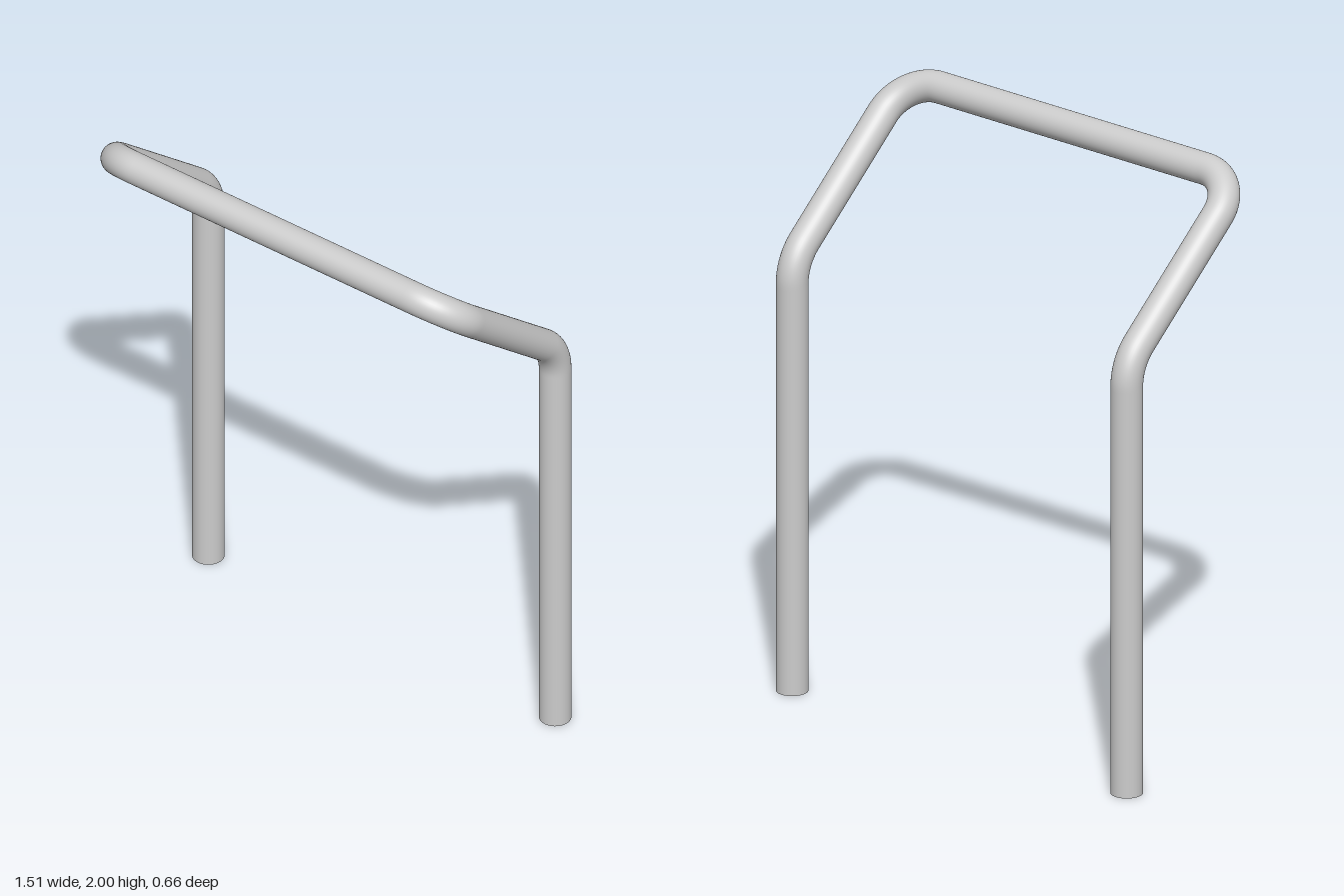
import * as THREE from 'three';

const OUTER = 0.0525, INNER = 0.042;
const HALF_WIDTH = 0.705, DEPTH = 0.28, TOP = 2 - OUTER, KNEE = 1.478;

// Straight runs through the corner points, joined by circular bends
function bentPath(points, radii) {
  const path = new THREE.CurvePath();
  let from = points[0];
  for (let i = 1; i < points.length - 1; i++) {
    const corner = points[i];
    const dirIn = corner.clone().sub(points[i - 1]).normalize();
    const dirOut = points[i + 1].clone().sub(corner).normalize();
    const angle = dirIn.angleTo(dirOut), r = radii[i - 1];
    const cut = r * Math.tan(angle / 2);
    const handle = (4 / 3) * Math.tan(angle / 4) * r;
    const a = corner.clone().addScaledVector(dirIn, -cut);
    const b = corner.clone().addScaledVector(dirOut, cut);
    path.add(new THREE.LineCurve3(from, a));
    path.add(new THREE.CubicBezierCurve3(a,
      a.clone().addScaledVector(dirIn, handle),
      b.clone().addScaledVector(dirOut, -handle), b));
    from = b;
  }
  path.add(new THREE.LineCurve3(from, points[points.length - 1]));
  return path;
}

export function createModel() {
  const group = new THREE.Group();
  group.name = 'bentTubeFrame';
  const outside = new THREE.MeshStandardMaterial({ color: 0xcccccc });
  const inside = new THREE.MeshStandardMaterial({ color: 0xcccccc, side: THREE.BackSide });

  for (const [side, s] of [['left', 1], ['right', -1]]) {
    // Half of the frame: leg, sloping arm, then the crossbar to the middle
    const x = s * HALF_WIDTH;
    const path = bentPath([
      new THREE.Vector3(x, 0, -DEPTH),
      new THREE.Vector3(x, KNEE, -DEPTH),
      new THREE.Vector3(x, TOP, DEPTH),
      new THREE.Vector3(0, TOP, DEPTH),
    ], [0.17, 0.145]);

    const add = (name, geometry, material) => {
      const mesh = new THREE.Mesh(geometry, material);
      mesh.name = side + name;
      group.add(mesh);
      return mesh;
    };
    add('Tube', new THREE.TubeGeometry(path, 200, OUTER, 40), outside);
    add('TubeBore', new THREE.TubeGeometry(path, 200, INNER, 40), inside);

    // Rim of the open foot, facing down
    const rim = add('FootRim', new THREE.RingGeometry(INNER, OUTER, 40).rotateX(Math.PI / 2), outside);
    rim.position.set(x, 0, -DEPTH);
  }
  return group;
}
